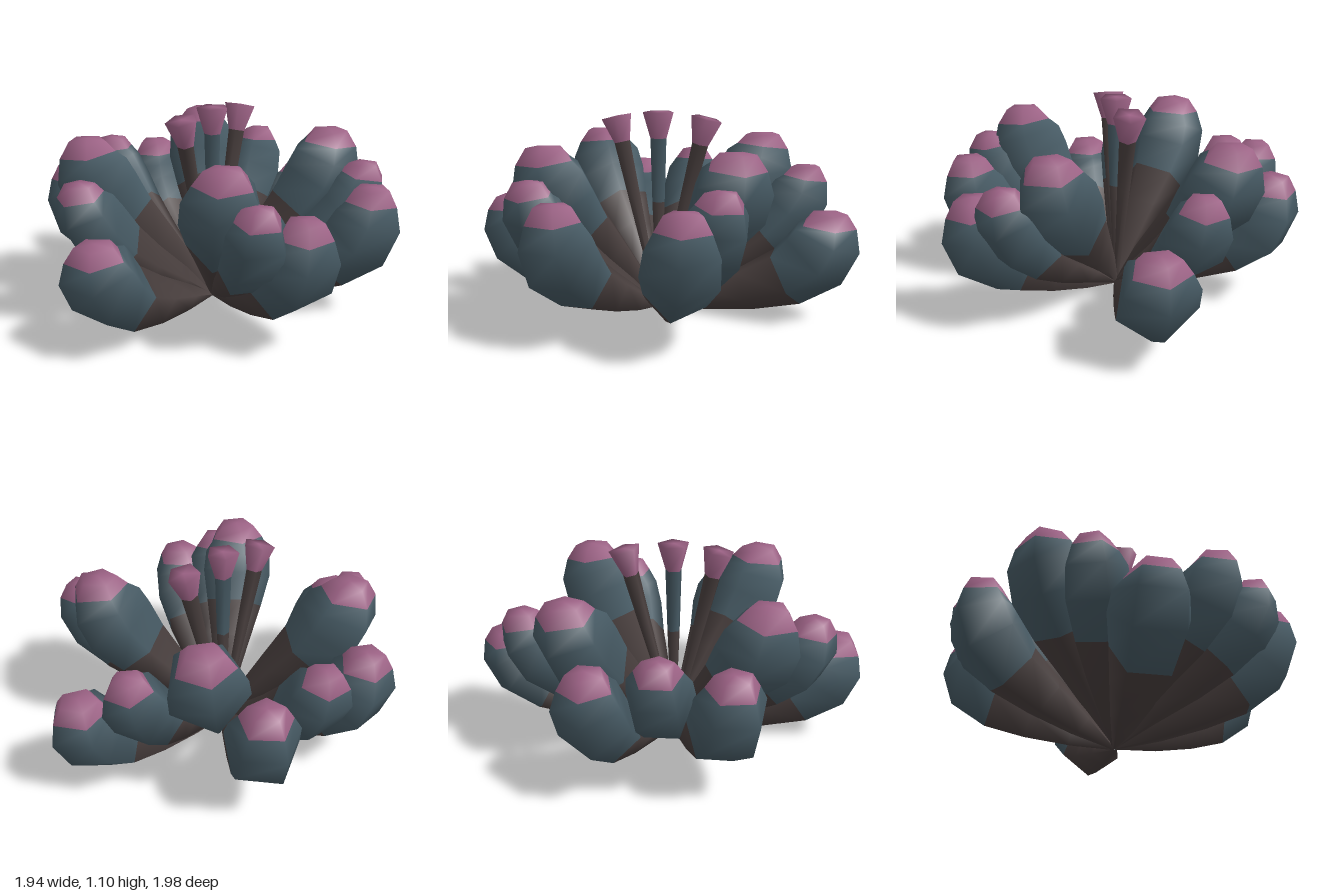
import * as THREE from 'three';

const SIDES = 5;
const stem = new THREE.MeshStandardMaterial({ color: 0x4b4140 });
stem.name = 'brownStem';
const body = new THREE.MeshStandardMaterial({ color: 0x485c66 });
body.name = 'slateBody';
const tip = new THREE.MeshStandardMaterial({ color: 0x9c6285 });
tip.name = 'pinkTip';
const MATERIALS = [stem, body, tip];

// Five-sided bent tube leaving the origin at azimuth a. Stations are
// [distance out, height, radius]; phase is the azimuth of one corner.
// bodyFrom and tipFrom are the rings where the colour changes.
function lobe(name, a, phase, stations, bodyFrom, tipFrom, dome) {
  const e = new THREE.Vector3(Math.cos(a), 0, Math.sin(a));
  const t = new THREE.Vector3(-Math.sin(a), 0, Math.cos(a));
  const pos = [], index = [];
  const last = stations.length - 1;
  const put = (r, y, side) => pos.push(
    e.x * r + t.x * side, Math.max(0, y), e.z * r + t.z * side);
  stations.forEach(([r, y, rad], i) => {
    const p = stations[Math.max(0, i - 1)], q = stations[Math.min(last, i + 1)];
    const dr = q[0] - p[0], dy = q[1] - p[1], len = Math.hypot(dr, dy);
    for (let j = 0; j < SIDES; j++) {
      const phi = phase - a + (j / SIDES) * Math.PI * 2;
      const c = Math.cos(phi) * rad;
      put(r + (c * dy) / len, y - (c * dr) / len, Math.sin(phi) * rad);
    }
  });
  const end = stations[last];
  put(end[0], end[1] + dome, 0);
  for (let i = 0; i < last; i++) {
    for (let j = 0; j < SIDES; j++) {
      const k = (j + 1) % SIDES;
      const A = i * SIDES + j, B = i * SIDES + k;
      index.push(A, A + SIDES, B, B, A + SIDES, B + SIDES);
    }
  }
  for (let j = 0; j < SIDES; j++) {
    index.push(last * SIDES + j, (last + 1) * SIDES, last * SIDES + (j + 1) % SIDES);
  }
  const geo = new THREE.BufferGeometry();
  geo.setAttribute('position', new THREE.Float32BufferAttribute(pos, 3));
  geo.setIndex(index);
  const per = SIDES * 6;
  geo.addGroup(0, bodyFrom * per, 0);
  geo.addGroup(bodyFrom * per, (tipFrom - bodyFrom) * per, 1);
  geo.addGroup(tipFrom * per, index.length - tipFrom * per, 2);
  geo.computeVertexNormals();
  const mesh = new THREE.Mesh(geo, MATERIALS);
  mesh.name = name;
  return mesh;
}

// Fleshy lobe profiles, from upright to spreading
const UPRIGHT = [[0, 0, 0.012], [0.16, 0.2, 0.075], [0.31, 0.36, 0.125], [0.46, 0.51, 0.175],
  [0.58, 0.66, 0.215], [0.64, 0.79, 0.205], [0.66, 0.875, 0.155], [0.66, 0.945, 0.1]];
const MIDDLE = [[0, 0, 0.012], [0.22, 0.16, 0.07], [0.42, 0.29, 0.115], [0.58, 0.41, 0.15],
  [0.71, 0.54, 0.178], [0.78, 0.66, 0.165], [0.8, 0.735, 0.125], [0.8, 0.8, 0.08]];
const SPREAD = [[0, 0, 0.012], [0.22, 0.1, 0.075], [0.44, 0.2, 0.125], [0.63, 0.3, 0.165],
  [0.77, 0.43, 0.2], [0.825, 0.56, 0.185], [0.835, 0.645, 0.14], [0.835, 0.72, 0.095]];
const LOW = [[0, 0, 0.012], [0.24, 0.075, 0.075], [0.48, 0.15, 0.13], [0.69, 0.235, 0.175],
  [0.83, 0.35, 0.21], [0.89, 0.46, 0.195], [0.9, 0.525, 0.15], [0.9, 0.59, 0.1]];

// [profile, tip x, tip z, corner azimuth in degrees]
const LOBES = [
  [UPRIGHT, -0.64, -0.19, 180], [UPRIGHT, -0.22, 0.61, -90],
  [UPRIGHT, 0.64, 0.15, 180], [UPRIGHT, 0.23, -0.65, -90],
  [MIDDLE, -0.34, -0.72, -80], [MIDDLE, -0.77, 0.1, 0], [MIDDLE, -0.13, 0.79, -80],
  [MIDDLE, 0.73, 0.37, 0], [MIDDLE, 0.58, -0.57, -85],
  [SPREAD, -0.02, -0.84, -112], [SPREAD, -0.63, -0.52, -90],
  [SPREAD, 0.09, 0.83, 112], [SPREAD, 0.66, 0.55, 54],
  [LOW, -0.79, 0.4, -27], [LOW, 0.82, -0.42, -27],
];

// Thin stalk with a flared trumpet, leaning out by the given distance
function flower(name, x, z, height, bodyStart, bodyFrom) {
  const lean = Math.hypot(x, z);
  const at = (f, rad) => [lean * f, height * f, rad];
  const rings = [at(0, 0.012), at(bodyStart, 0.036), at(0.87, 0.046), at(1, 0.088)];
  return lobe(name, Math.atan2(z, x), -Math.PI / 2, rings, bodyFrom, 2, 0.004);
}

export function createModel() {
  const model = new THREE.Group();
  model.name = 'succulentCluster';
  LOBES.forEach(([profile, x, z, deg], i) => {
    // Stretch the profile so that its tip reaches the given spot
    const s = Math.hypot(x, z) / profile[profile.length - 1][0];
    const stations = profile.map(([r, y, rad]) => [r * s, y, rad]);
    model.add(lobe(`lobe${i + 1}`, Math.atan2(z, x), THREE.MathUtils.degToRad(deg),
      stations, 3, 6, 0.01));
  });
  model.add(flower('centreFlower', 0, 0, 1.1, 0.55, 1));
  model.add(flower('leftFlower', 0.23, -0.13, 1.07, 0.6, 2));
  model.add(flower('rightFlower', -0.22, 0.1, 1.07, 0.6, 2));
  return model;
}
